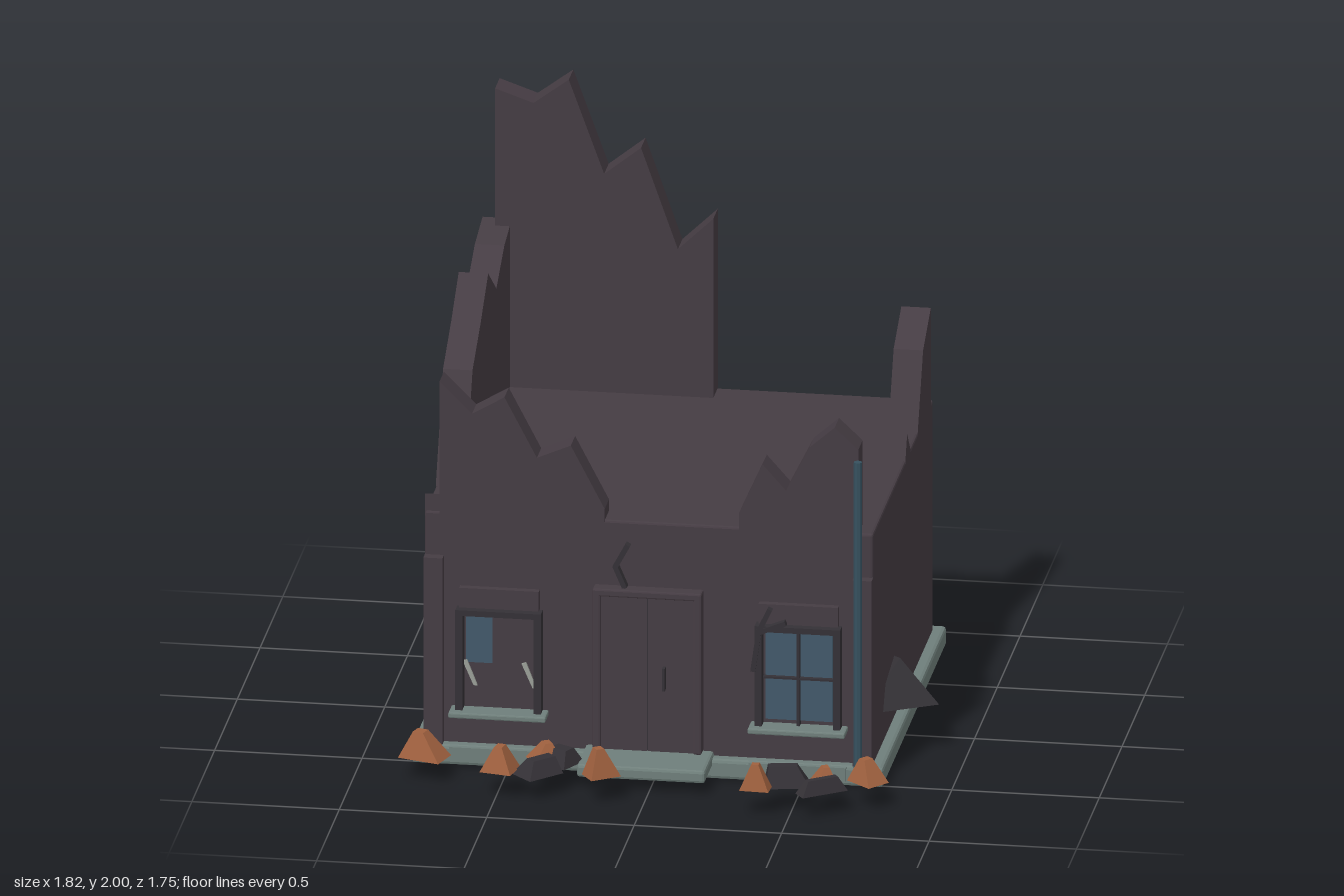
import * as THREE from 'three';
import { RoundedBoxGeometry } from 'three/addons/geometries/RoundedBoxGeometry.js';
import { ConvexGeometry } from 'three/addons/geometries/ConvexGeometry.js';

const mat = (name, color) => {
  const m = new THREE.MeshStandardMaterial({ color, flatShading: true });
  m.name = name;
  return m;
};

export function createModel() {
  const wall = mat('plum plaster', 0x453c43);
  const stone = mat('green grey stone', 0x6f7f7b);
  const dark = mat('charcoal', 0x343136);
  const glass = mat('blue glass', 0x42596a);
  const pipe = mat('blue metal', 0x36515f);
  const brick = mat('orange brick', 0xa0613f);
  const pale = mat('pale grey', 0x9a9f98);

  const model = new THREE.Group();
  model.name = 'ruinedHouse';
  const add = (name, geometry, material, parent = model) => {
    const mesh = new THREE.Mesh(geometry, material);
    mesh.name = name;
    parent.add(mesh);
    return mesh;
  };
  // Box given by its limits on each axis; r > 0 rounds the edges
  const box = (name, x0, x1, y0, y1, z0, z1, material, r = 0, parent = model) => {
    const s = [x1 - x0, y1 - y0, z1 - z0];
    const g = r ? new RoundedBoxGeometry(...s, 1, r) : new THREE.BoxGeometry(...s);
    g.translate((x0 + x1) / 2, (y0 + y1) / 2, (z0 + z1) / 2);
    return add(name, g, material, parent);
  };

  // Plinth, solid ground floor, door step
  box('plinth', -0.83, 0.77, 0, 0.07, -0.88, 0.52, stone, 0.012);
  box('houseBody', -0.79, 0.73, 0.06, 0.89, -0.84, 0.48, wall, 0.008);
  box('doorStep', -0.245, 0.19, 0.04, 0.085, 0.47, 0.68, stone, 0.01);
  box('cornerPilasterLeft', 0.665, 0.73, 0.07, 0.735, 0.47, 0.515, wall);
  box('cornerPilasterRight', -0.79, -0.725, 0.07, 0.735, 0.47, 0.515, wall);

  // Broken upper walls: jagged outlines, extruded along z or along x
  const jagged = (name, points, depth, at, alongX = false) => {
    const shape = new THREE.Shape(points.map(p => new THREE.Vector2(...p)));
    const g = new THREE.ExtrudeGeometry(shape, { depth, bevelEnabled: false });
    if (alongX) g.rotateY(-Math.PI / 2).translate(at + depth, 0, 0);
    else g.translate(0, 0, at);
    return add(name, g, wall);
  };
  const base = 0.87;
  jagged('brokenBackWall', [[-0.74, base], [0, base], [0, 1.53], [-0.12, 1.415], [-0.245, 1.77],
    [-0.37, 1.67], [-0.49, 2], [-0.61, 1.91], [-0.74, 1.955]], 0.1, -0.84);
  jagged('brokenFrontWallRight', [[-0.74, base], [-0.18, base], [-0.18, 0.93], [-0.295, 1.15],
    [-0.41, 1.1], [-0.52, 1.31], [-0.63, 1.245], [-0.74, 1.355]], 0.095, 0.385);
  jagged('brokenFrontWallLeft', [[0.275, base], [0.68, base], [0.68, 1.19], [0.6, 1.265],
    [0.515, 1.19], [0.435, 1.03], [0.355, 1.12], [0.275, 0.94]], 0.095, 0.385);
  jagged('brokenSideWallRight', [[-0.79, base], [0.24, base], [0.24, 0.89], [0.08, 1.25], [-0.1, 1.355],
    [-0.265, 1.47], [-0.445, 1.35], [-0.62, 1.44], [-0.79, 1.475]], 0.1, -0.79, true);
  jagged('wallStubRight', [[0.31, base], [0.475, base], [0.475, 0.95], [0.32, 0.89]], 0.1, -0.79, true);
  jagged('brokenSideWallLeft', [[-0.79, base], [-0.5, base], [-0.5, 0.89], [-0.62, 1.145],
    [-0.79, 1.235]], 0.1, 0.63, true);
  jagged('wallStubLeft', [[-0.35, base], [-0.23, base], [-0.23, 0.89], [-0.27, 0.975], [-0.345, 0.89]],
    0.1, 0.63, true);

  // Double door with raised frame
  const door = new THREE.Group();
  door.name = 'door';
  model.add(door);
  box('doorJambRight', -0.215, -0.187, 0.085, 0.66, 0.47, 0.528, wall, 0.006, door);
  box('doorJambLeft', 0.127, 0.155, 0.085, 0.66, 0.47, 0.528, wall, 0.006, door);
  box('doorHead', -0.215, 0.155, 0.633, 0.66, 0.47, 0.528, wall, 0.006, door);
  box('doorLeafRight', -0.187, -0.032, 0.085, 0.633, 0.47, 0.512, wall, 0, door);
  box('doorLeafLeft', -0.028, 0.127, 0.085, 0.633, 0.47, 0.512, wall, 0, door);
  box('doorGap', -0.032, -0.028, 0.085, 0.633, 0.47, 0.506, dark, 0, door);
  box('doorHandle', 0.022, 0.032, 0.31, 0.39, 0.51, 0.535, dark, 0, door);

  // Windows: frame, lintel panel, sill
  const makeWindow = (name, cx) => {
    const g = new THREE.Group();
    g.name = name;
    g.position.x = cx;
    model.add(g);
    box('lintel', -0.135, 0.135, 0.56, 0.63, 0.47, 0.505, wall, 0, g);
    for (const s of [-1, 1]) {
      const x = s * 0.133;
      box('frameSide', x - 0.012, x + 0.012, 0.2, 0.557, 0.47, 0.525, dark, 0, g);
    }
    box('frameTop', -0.145, 0.145, 0.537, 0.557, 0.47, 0.525, dark, 0, g);
    box('sill', -0.165, 0.165, 0.18, 0.2, 0.47, 0.555, stone, 0.005, g);
    box('plinthLedge', -0.165, 0.165, 0.02, 0.068, 0.47, 0.53, stone, 0, g);
    return g;
  };
  const broken = makeWindow('brokenWindow', -0.535);
  box('glassPiece', -0.115, -0.025, 0.36, 0.525, 0.48, 0.487, glass, 0, broken);
  for (const s of [-1, 1]) {
    const shard = new THREE.Shape([[0.125, 0.28], [0.112, 0.28], [0.075, 0.365], [0.09, 0.37]]
      .map(([x, y]) => new THREE.Vector2(s * (s < 0 ? 0.2 - x : x), y)));
    add('glassShard', new THREE.ExtrudeGeometry(shard, { depth: 0.008, bevelEnabled: false })
      .translate(0, 0, 0.485), pale, broken);
  }
  const whole = makeWindow('paneWindow', 0.48);
  for (const x of [-0.114, 0.005]) for (const y of [0.215, 0.372]) {
    box('pane', x, x + 0.109, y, y + (y > 0.3 ? 0.16 : 0.15), 0.48, 0.489, glass, 0, whole);
  }
  box('mullion', -0.005, 0.005, 0.2, 0.54, 0.48, 0.505, dark, 0, whole);
  box('transom', -0.12, 0.12, 0.365, 0.372, 0.48, 0.505, dark, 0, whole);

  // Wall cracks as chains of thin bars
  const crack = (name, pts, z) => {
    for (let i = 1; i < pts.length; i++) {
      const [ax, ay] = pts[i - 1], [bx, by] = pts[i];
      const bar = add(name, new THREE.BoxGeometry(Math.hypot(bx - ax, by - ay) + 0.01, 0.017, 0.03), dark);
      bar.position.set((ax + bx) / 2, (ay + by) / 2, z);
      bar.rotation.z = Math.atan2(by - ay, bx - ax);
    }
  };
  crack('crackOverDoor', [[-0.1, 0.81], [-0.14, 0.735], [-0.11, 0.665]], 0.495);
  crack('crackByWindow', [[0.385, 0.615], [0.35, 0.54], [0.33, 0.4]], 0.515);
  crack('crackBranch', [[0.35, 0.535], [0.435, 0.57]], 0.515);

  // Drain pipe
  add('drainPipe', new THREE.CylinderGeometry(0.014, 0.014, 1.105, 10), pipe).position.set(0.69, 0.622, 0.555);

  // Wall slabs leaning on the sides
  const hull = (name, pts, material) =>
    add(name, new ConvexGeometry(pts.map(p => new THREE.Vector3(...p))), material);
  hull('fallenSlabLeft', [[0.72, 0.175, -0.1], [0.77, 0.175, -0.1], [0.72, 0.29, 0.015], [0.75, 0.28, 0.015],
    [0.72, 0.26, 0.21], [0.72, 0.175, 0.265], [0.905, 0.175, 0.16]], dark);
  hull('fallenSlabRight', [[-0.78, 0.15, -0.57], [-0.81, 0.15, -0.56], [-0.78, 0.25, -0.42], [-0.81, 0.23, -0.3],
    [-0.78, 0.23, -0.24], [-0.78, 0.15, -0.21], [-0.91, 0.15, -0.27], [-0.87, 0.18, -0.25]], pale);

  // Rubble: boxes pinched to an off-centre ridge; [x, z, width, height, depth, turn, base y, material]
  const rubble = [
    [-0.765, 0.65, 0.15, 0.09, 0.1, -0.3, 0.075, brick], [-0.49, 0.775, 0.11, 0.085, 0.1, -0.2, 0.09, brick],
    [-0.36, 0.64, 0.1, 0.06, 0.09, 0.5, 0.085, brick], [-0.145, 0.78, 0.11, 0.1, 0.075, 0.6, 0.09, brick],
    [0.385, 0.83, 0.1, 0.09, 0.06, -0.05, 0.09, brick], [0.6, 0.73, 0.08, 0.06, 0.08, 0.4, 0.085, brick],
    [0.745, 0.69, 0.11, 0.08, 0.09, -0.7, 0.085, brick], [-0.3, 0.64, 0.1, 0.055, 0.11, -0.5, 0.075, dark],
    [-0.365, 0.755, 0.14, 0.055, 0.1, 0.8, 0.075, dark], [0.48, 0.745, 0.15, 0.07, 0.09, 0.2, 0.08, dark],
    [0.605, 0.8, 0.17, 0.05, 0.055, 0.62, 0.08, dark],
  ];
  rubble.forEach(([x, z, w, h, d, turn, y, material], i) => {
    const g = new THREE.BoxGeometry(w, h, d);
    const p = g.attributes.position;
    const pinch = material === brick ? 0.25 : 0.65;
    for (let k = 0; k < p.count; k++) {
      if (p.getY(k) > 0) {
        p.setX(k, p.getX(k) * pinch + w * 0.1 * (i % 3 - 1));
        p.setZ(k, p.getZ(k) * 0.4);
      }
    }
    g.computeVertexNormals();
    const m = add(material === brick ? 'brickRubble' : 'darkRubble', g, material);
    m.position.set(x, y + h / 2, z);
    m.rotation.y = turn;
  });
  return model;
}
